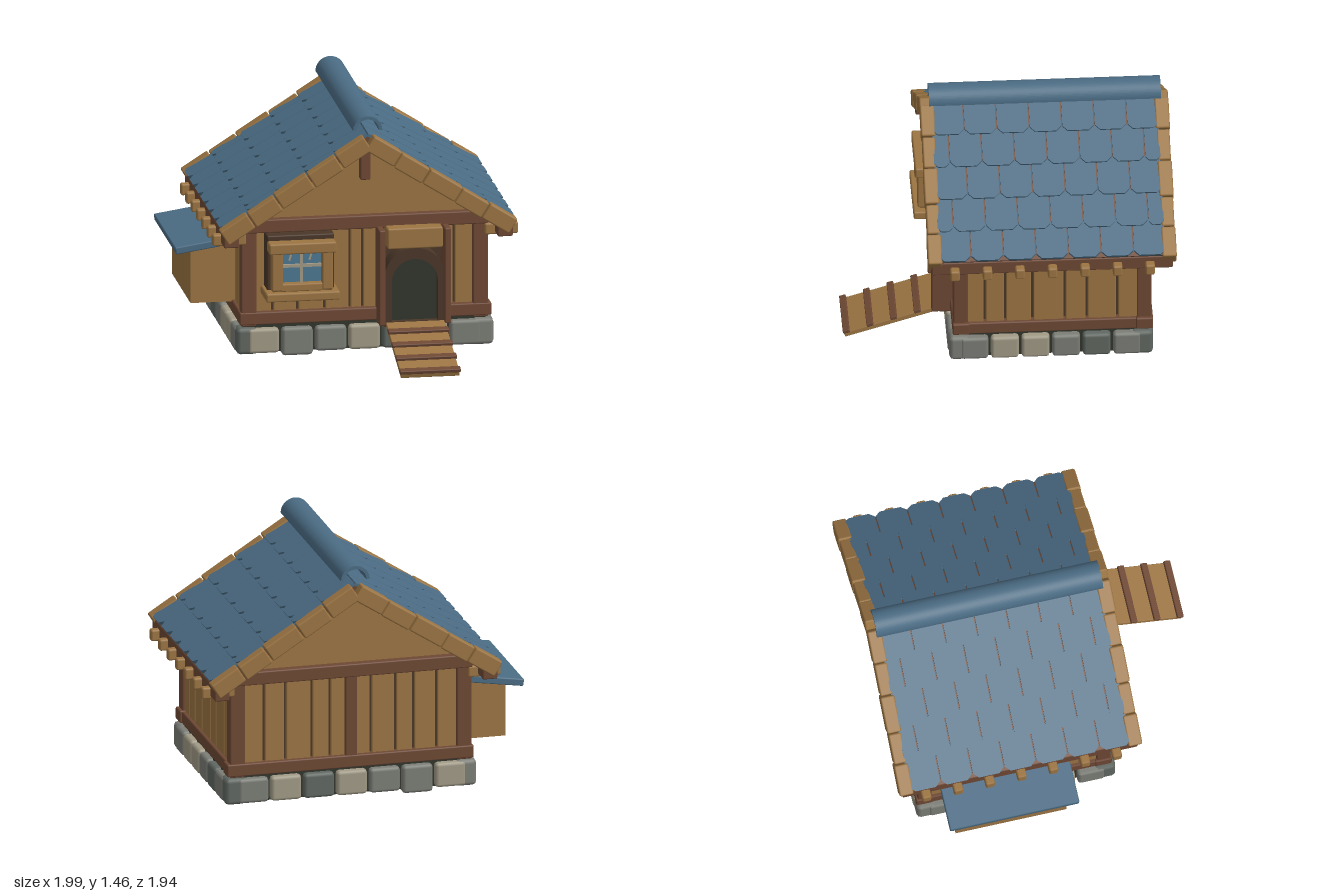
import * as THREE from 'three';
import { RoundedBoxGeometry } from 'three/addons/geometries/RoundedBoxGeometry.js';

const mat = (name, color, side = THREE.FrontSide) => {
  const m = new THREE.MeshStandardMaterial({ color, side });
  m.name = name;
  return m;
};

export function createModel() {
  const wood = mat('lightWood', 0x9c7543);
  const beam = mat('redBrownBeam', 0x6e4834);
  const dark = mat('darkBrown', 0x4a3628);
  const blue = mat('blueRoof', 0x4b6c84);
  const hole = mat('shadowGreen', 0x32352d);
  const glass = mat('windowBlue', 0x4d7893);
  const stoneLight = mat('paleStone', 0xa19a86);
  const stoneMid = mat('greyStone', 0x7b7d76);
  const stoneDark = mat('darkStone', 0x606761);

  const root = new THREE.Group();
  root.name = 'coop';
  const CX = 0.085, CZ = -0.24;

  const add = (name, geo, material, parent = root) => {
    const m = new THREE.Mesh(geo, material);
    m.name = name;
    parent.add(m);
    return m;
  };
  // Box given by its limits on each axis, with a small bevel
  const box = (name, material, x0, x1, y0, y1, z0, z1, r = 0.008, parent = root) => {
    const s = [x1 - x0, y1 - y0, z1 - z0];
    const geo = r > 0 ? new RoundedBoxGeometry(...s, 1, Math.min(r, Math.min(...s) * 0.45)) : new THREE.BoxGeometry(...s);
    const m = add(name, geo, material, parent);
    m.position.set((x0 + x1) / 2, (y0 + y1) / 2, (z0 + z1) / 2);
    return m;
  };

  // Foundation core and ring of stones
  box('foundationCore', hole, -0.64, 0.81, 0.02, 0.2, -0.8, 0.32, 0);
  const stones = [stoneLight, stoneMid, stoneMid, stoneLight, stoneDark];
  const HX = 0.765, HZ = 0.6;
  for (const sx of [-1, 1]) for (const sz of [-1, 1]) {
    const x = CX + sx * (HX - 0.065), z = CZ + sz * (HZ - 0.065);
    box('cornerStone', sx * sz > 0 ? stoneMid : stoneDark, x - 0.065, x + 0.065, 0.015, 0.175, z - 0.065, z + 0.065, 0.025);
  }
  for (const s of [-1, 1]) {
    for (let i = 0; i < 7; i++) {
      const x = -0.612 + i * 0.2, z = CZ + s * (HZ - 0.055);
      const low = i === 1 ? 0 : 0.02;
      box('foundationStone', stones[i % 5], x, x + 0.185, low, 0.17, z - 0.06, z + 0.06, 0.02);
    }
    for (let i = 0; i < 6; i++) {
      const z = 0.295 - i * 0.18, x = CX + s * (HX - 0.055);
      box('foundationStone', stones[(i + 2) % 5 === 2 ? 1 : (i * 3 + 2) % 5], x - 0.06, x + 0.06, 0.02, 0.17, z - 0.165, z, 0.02);
    }
  }

  // Wall core and vertical planks
  box('wallCore', dark, -0.61, 0.78, 0.18, 0.78, -0.79, 0.28, 0);
  const planks = (edges, make) => {
    for (let i = 0; i + 1 < edges.length; i++) make(edges[i] + 0.007, edges[i + 1] - 0.007);
  };
  const frontPlank = (a, b) => box('frontPlank', wood, a, b, 0.24, 0.77, 0.27, 0.3, 0.006);
  planks([-0.57, -0.46, -0.31, -0.15, 0, 0.075, 0.18], frontPlank);
  planks([0.56, 0.62, 0.75], frontPlank);
  planks([-0.57, -0.44, -0.3, -0.19, -0.04, 0.06, 0.21, 0.32, 0.48, 0.61, 0.75],
    (a, b) => box('backPlank', wood, a, b, 0.24, 0.77, -0.81, -0.78, 0.006));
  for (const x of [-0.62, 0.79]) {
    planks([-0.76, -0.63, -0.45, -0.32, -0.13, 0.03, 0.15, 0.27],
      (a, b) => box('sidePlank', wood, x - 0.015, x + 0.015, 0.24, 0.76, a, b, 0.006));
  }

  // Timber frame
  for (const [x0, x1] of [[-0.65, -0.56], [0.73, 0.82]]) {
    box('cornerPost', beam, x0, x1, 0.18, 0.8, 0.25, 0.335);
    box('cornerPost', beam, x0, x1, 0.18, 0.8, -0.83, -0.745);
    box('sideSill', beam, x0 - 0.005, x1 + 0.005, 0.185, 0.26, -0.83, 0.3);
    box('sidePlate', beam, x0, x1, 0.7, 0.8, -0.82, 0.32);
  }
  box('frontSill', beam, -0.66, 0.18, 0.19, 0.265, 0.24, 0.34);
  box('frontSill', beam, 0.56, 0.84, 0.19, 0.265, 0.24, 0.34);
  box('backSill', beam, -0.66, 0.84, 0.19, 0.265, -0.84, -0.74);
  box('frontTieBeam', beam, -0.65, 0.82, 0.75, 0.83, 0.25, 0.35);
  box('backTieBeam', beam, -0.65, 0.82, 0.75, 0.83, -0.85, -0.75);
  box('backMiddlePost', beam, 0.05, 0.12, 0.22, 0.78, -0.835, -0.76);
  box('kingPost', beam, 0.055, 0.115, 1.05, 1.25, 0.28, 0.36);

  // Gable block beneath the roof
  const tri = new THREE.Shape([[-0.73, 0.78], [0.73, 0.78], [0, 1.255]].map(p => new THREE.Vector2(...p)));
  const gable = add('gable', new THREE.ExtrudeGeometry(tri, { depth: 1.1, bevelEnabled: false }), wood);
  gable.position.set(CX, 0, -0.8);

  // Roof halves: local x runs down the slope, local y is outward
  const TILT = Math.atan(0.637), W = 1.34 / 7;
  const tileGeo = (w, len) => {
    const h = w / 2 - 0.004, c = Math.min(0.03, h * 0.5);
    const s = new THREE.Shape([[0, -h], [len - c, -h], [len, -h + c], [len, h - c], [len - c, h], [0, h]]
      .map(p => new THREE.Vector2(...p)));
    return new THREE.ExtrudeGeometry(s, { depth: 0.018, bevelEnabled: false }).rotateX(-Math.PI / 2);
  };
  const rowEnds = [0.235, 0.44, 0.645, 0.85, 1.04];
  const bargeCuts = [0.037, 0.24, 0.44, 0.67, 0.86, 1.055];
  for (const side of [1, -1]) {
    const half = new THREE.Group();
    half.name = side > 0 ? 'roofLeft' : 'roofRight';
    half.position.set(CX, 1.37, CZ);
    half.rotation.set(0, side > 0 ? 0 : Math.PI, -TILT);
    root.add(half);
    box('roofDeck', beam, 0.02, 1.035, -0.075, -0.026, -0.665, 0.665, 0, half);
    rowEnds.forEach((end, row) => {
      const len = row ? 0.235 : 0.22;
      const cells = [];
      if (row % 2 === 0) for (let i = 0; i < 7; i++) cells.push([(i - 3) * W, W]);
      else {
        for (let i = 0; i < 6; i++) cells.push([(i - 2.5) * W, W]);
        cells.push([-3.25 * W, W / 2], [3.25 * W, W / 2]);
      }
      for (const [z, w] of cells) {
        const t = add('roofTile', tileGeo(w, len), blue, half);
        t.position.set(end - len, -0.031, z);
        t.rotation.z = 0.06;
      }
    });
    // Segmented barge boards at both gables
    for (const e of [1, -1]) for (let i = 0; i < 5; i++) {
      const d = i % 2 ? 0.004 : 0;
      const z = e * 0.69;
      box('bargeBoard', wood, bargeCuts[i] + 0.003, bargeCuts[i + 1] - 0.003, -0.1 - d, -d, z - 0.042 + d, z + 0.042 - d, 0.01, half);
    }
    // Eave beam and rafter ends
    const ex = CX + side * 0.815;
    box('eaveBeam', beam, ex - 0.045, ex + 0.045, 0.7, 0.785, -0.95, 0.47);
    for (let i = 0; i < 7; i++) {
      const z = 0.335 - i * 0.1915, rx = CX + side * 0.81;
      box('rafterEnd', wood, rx - 0.1, rx + 0.1, 0.685, 0.755, z - 0.028, z + 0.028, 0.012);
    }
  }

  // Ridge cap: half pipe
  const arc = new THREE.Shape();
  arc.absarc(0, 0, 0.087, 0, Math.PI, false);
  arc.absarc(0, 0, 0.067, Math.PI, 0, true);
  const cap = add('ridgeCap', new THREE.ExtrudeGeometry(arc, { depth: 1.365, bevelEnabled: false, curveSegments: 16 }), blue);
  cap.position.set(CX, 1.373, -0.925);

  // Doorway: arched surround with a dark opening
  const DX = 0.372;
  const archShape = (r, y0, yc) => {
    const s = new THREE.Shape();
    s.moveTo(-r, y0);
    s.lineTo(r, y0);
    s.lineTo(r, yc);
    s.absarc(0, yc, r, 0, Math.PI, false);
    return s;
  };
  const surround = archShape(0.18, 0.16, 0.455);
  surround.holes.push(archShape(0.137, 0.19, 0.43));
  const door = add('doorSurround', new THREE.ExtrudeGeometry(surround, { depth: 0.12, bevelEnabled: false, curveSegments: 16 }), dark);
  door.position.set(DX, 0, 0.28);
  const opening = add('doorOpening', new THREE.ShapeGeometry(archShape(0.14, 0.17, 0.43), 16), hole);
  opening.position.set(DX, 0, 0.36);
  for (const x of [0.172, 0.562]) box('doorPost', beam, x - 0.019, x + 0.019, 0.18, 0.76, 0.29, 0.45);
  box('doorLintel', wood, 0.205, 0.535, 0.64, 0.765, 0.29, 0.435, 0.01);

  // Entry ramp
  const ramp = new THREE.Group();
  ramp.name = 'ramp';
  ramp.position.set(DX, 0.195, 0.42);
  ramp.rotation.x = 0.3;
  root.add(ramp);
  box('rampBoard', wood, -0.175, 0.175, -0.03, 0, 0, 0.57, 0.004, ramp);
  for (let i = 0; i < 4; i++) {
    const z = 0.115 + i * 0.146;
    box('rampCleat', beam, -0.181, 0.181, -0.005, 0.018, z - 0.02, z + 0.02, 0.005, ramp);
  }

  // Front window
  const WX = -0.31;
  box('windowSurround', dark, WX - 0.2, WX + 0.2, 0.41, 0.75, 0.28, 0.42);
  box('windowPane', glass, WX - 0.125, WX + 0.125, 0.46, 0.67, 0.41, 0.428, 0);
  box('windowSill', wood, WX - 0.22, WX + 0.22, 0.37, 0.422, 0.29, 0.515, 0.01);
  box('windowFrameBottom', wood, WX - 0.18, WX + 0.18, 0.422, 0.468, 0.4, 0.48);
  box('windowHeader', wood, WX - 0.2, WX + 0.2, 0.655, 0.72, 0.4, 0.505, 0.01);
  for (const s of [-1, 1]) {
    const x = WX + s * 0.15;
    box('windowFrameSide', wood, x - 0.032, x + 0.032, 0.43, 0.69, 0.4, 0.49);
    const glint = box('windowGlint', stoneLight, -0.006, 0.006, -0.022, 0.022, 0, 0.004, 0);
    glint.position.set(WX + s * 0.06 - 0.005, 0.62, 0.43);
    glint.rotation.z = -0.3;
  }
  box('windowBarUpright', stoneLight, WX - 0.009, WX + 0.009, 0.465, 0.66, 0.425, 0.445, 0);
  box('windowBarCross', stoneLight, WX - 0.12, WX + 0.12, 0.56, 0.578, 0.425, 0.445, 0);

  // Nest box on the side wall with a sloping lid
  const nest = new THREE.Shape([[-0.9, 0.25], [-0.62, 0.25], [-0.62, 0.63], [-0.9, 0.59]].map(p => new THREE.Vector2(...p)));
  const nestBox = add('nestBox', new THREE.ExtrudeGeometry(nest, { depth: 0.67, bevelEnabled: false }), wood);
  nestBox.position.z = -0.66;
  const lid = box('nestLid', blue, -0.19, 0.19, -0.022, 0.022, -0.39, 0.39, 0.008);
  lid.position.set(-0.81, 0.612, -0.325);
  lid.rotation.z = 0.15;

  return root;
}
